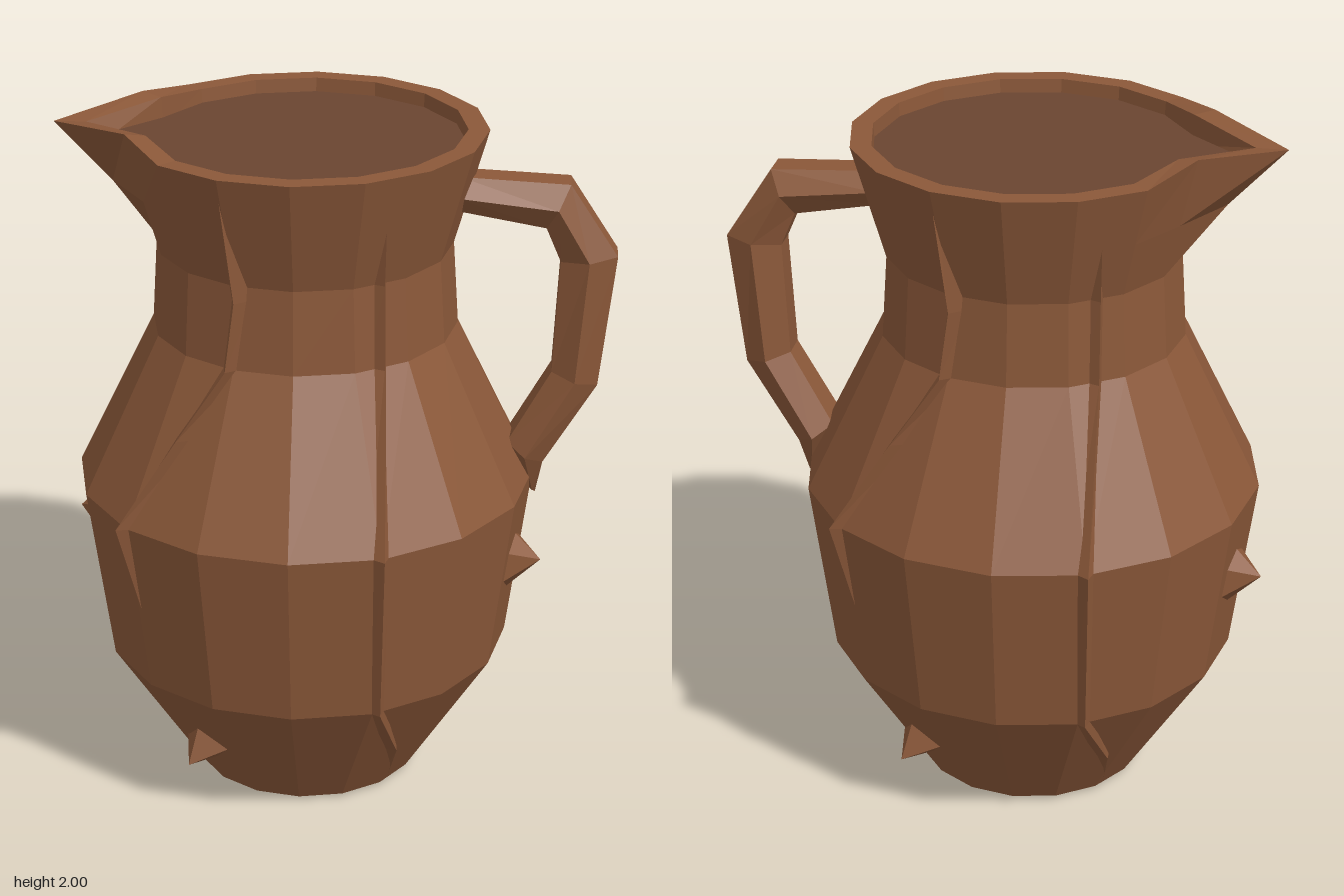
import * as THREE from 'three';

const SIDES = 16;
const CX = -0.09; // body axis
// body profile from base to rim: [y, radius]
const PROFILE = [[0.01, 0.33], [0.42, 0.59], [0.94, 0.66], [1.4, 0.435], [1.64, 0.42], [1.8, 0.466], [1.97, 0.515]];

// skin a list of rings (equal point counts) with flat facets
function loft(rings, material, name) {
  const n = rings[0].length, pos = rings.flat(2), index = [];
  for (let j = 0; j < rings.length - 1; j++) {
    for (let i = 0; i < n; i++) {
      const k = (i + 1) % n;
      const a = j * n + i, b = j * n + k, c = (j + 1) * n + k, d = (j + 1) * n + i;
      index.push(a, b, c, a, c, d);
    }
  }
  const g = new THREE.BufferGeometry();
  g.setAttribute('position', new THREE.Float32BufferAttribute(pos, 3));
  g.setIndex(index);
  const flat = g.toNonIndexed();
  flat.computeVertexNormals();
  const mesh = new THREE.Mesh(flat, material);
  mesh.name = name;
  return mesh;
}

// angle 0 faces +z and grows towards +x
const polar = (a, r, y) => [CX + r * Math.sin(a), y, r * Math.cos(a)];

// horizontal body ring; tip pulls the spout point outwards, lift raises its neighbours
function ring(y, r, tip = r, lift = 0) {
  return Array.from({ length: SIDES }, (_, i) => {
    const a = (i / SIDES) * Math.PI * 2;
    if (i === 12) return polar(a, tip, y);
    return polar(a, r, y + (lift && Math.abs(i - 12) === 1 ? lift : 0));
  });
}

// radius of the faceted body at a height and angle
function surface(y, a) {
  let k = 0;
  while (k < PROFILE.length - 2 && y > PROFILE[k + 1][0]) k++;
  const [y0, r0] = PROFILE[k], [y1, r1] = PROFILE[k + 1];
  const r = r0 + ((r1 - r0) * (y - y0)) / (y1 - y0);
  const step = (Math.PI * 2) / SIDES;
  const off = (((a % step) + step) % step) - step / 2;
  return (r * Math.cos(step / 2)) / Math.cos(off);
}

// raised crease following points [angle in degrees, y], tapered at both ends
function ridge(points, width, height, material) {
  const rings = points.map(([deg, y], i) => {
    const end = i === 0 || i === points.length - 1;
    const a = THREE.MathUtils.degToRad(deg), r = surface(y, a);
    const da = (end ? 0.002 : width) / r;
    return [polar(a, r + (end ? 0 : height), y), polar(a + da, r - 0.02, y), polar(a - da, r - 0.02, y)];
  });
  return loft(rings, material, 'ridge');
}

// faceted knob standing out from the body
function lump(deg, y, radius, height, sides, tilt, material) {
  const a = THREE.MathUtils.degToRad(deg);
  const g = new THREE.ConeGeometry(radius, height, sides).rotateX(Math.PI / 2);
  const mesh = new THREE.Mesh(g, material);
  mesh.rotation.set(tilt, a, 0, 'YXZ');
  mesh.position.set(...polar(a, surface(y, a), y));
  mesh.name = 'lump';
  return mesh;
}

export function createModel() {
  const clay = new THREE.MeshStandardMaterial({ color: 0x8b5839, flatShading: true });
  clay.name = 'brown clay';
  const dark = new THREE.MeshStandardMaterial({ color: 0x6a4531, flatShading: true });
  dark.name = 'dark brown filling';

  const model = new THREE.Group();
  model.name = 'pitcher';

  // body with spout and rolled-in rim
  const tips = { 1.8: 0.54, 1.97: 0.7 };
  const rings = PROFILE.map(([y, r]) => ring(y, r, tips[y] ?? r, y === 1.97 ? 0.03 : 0));
  model.add(loft([ring(0, 0), ring(0, 0.27), ...rings, ring(1.97, 0.455, 0.61, 0.02), ring(1.9, 0.45, 0.58)], clay, 'body'));

  // filling just below the rim
  model.add(loft([ring(1.93, 0.452, 0.6), ring(1.93, 0)], dark, 'filling'));

  // handle from lower tip to neck: [x, y, half width, half thickness]
  const path = [[0.57, 0.88, 0.01, 0.01], [0.545, 1.02, 0.1, 0.06], [0.68, 1.25, 0.085, 0.068],
    [0.71, 1.61, 0.08, 0.08], [0.62, 1.765, 0.085, 0.072], [0.34, 1.795, 0.08, 0.05]];
  const handleRings = path.map(([x, y, w, t], i) => {
    const p = path[Math.max(i - 1, 1)], q = path[Math.min(Math.max(i + 1, 2), path.length - 1)];
    const len = Math.hypot(q[0] - p[0], q[1] - p[1]);
    const tx = (q[0] - p[0]) / len, ty = (q[1] - p[1]) / len;
    return Array.from({ length: 6 }, (_, k) => {
      const a = (k / 6) * Math.PI * 2, v = t * Math.sin(a) / 0.866;
      return [x + ty * v, y - tx * v, w * Math.cos(a)];
    });
  });
  const cap = (r) => {
    const c = [0, 1, 2].map((m) => r.reduce((s, p) => s + p[m], 0) / r.length);
    return r.map(() => c);
  };
  model.add(loft([cap(handleRings[0]), ...handleRings, cap(handleRings.at(-1))], clay, 'handle'));

  // lumps and creases repeat on opposite sides
  for (const turn of [0, 180]) {
    const at = (pts) => pts.map(([d, y]) => [d + turn, y]);
    model.add(lump(78.5 + turn, 0.72, 0.17, 0.17, 6, 0, clay));
    model.add(lump(-37 + turn, 0.2, 0.15, 0.18, 4, 0.5, clay));
    model.add(ridge(at([[50, 0.02], [38, 0.2], [24, 0.42], [22.5, 0.94], [33, 1.4], [34, 1.64], [33, 1.8]]), 0.035, 0.025, clay));
    model.add(ridge(at([[-44, 0.68], [-46, 0.94], [-36, 1.2], [-24, 1.4], [-21, 1.6], [-23, 1.9]]), 0.035, 0.03, clay));
  }
  return model;
}
